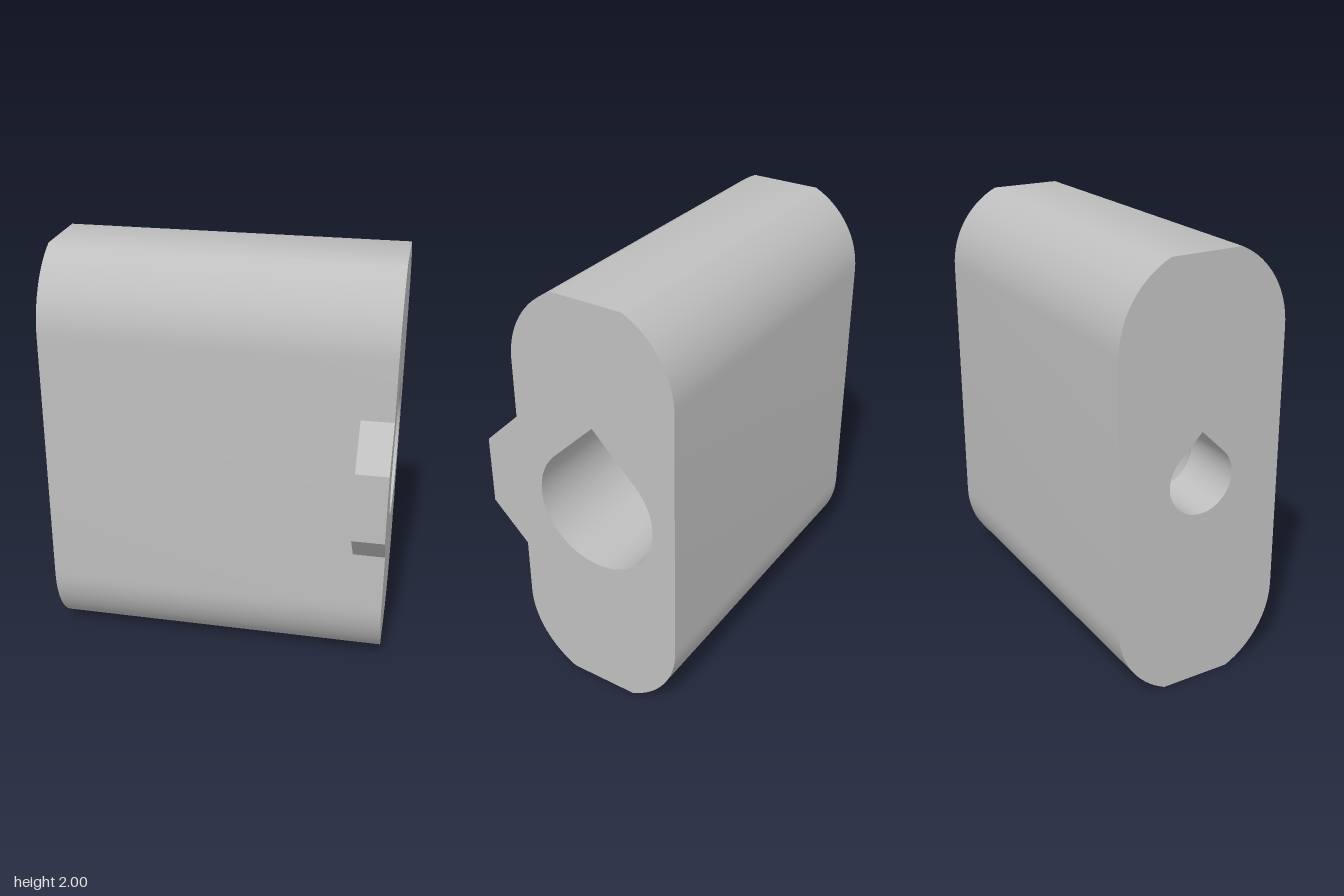
import * as THREE from 'three';
import { toCreasedNormals } from 'three/addons/utils/BufferGeometryUtils.js';

const HALF = 0.815;          // half length along x
const MID_Y = 1, MID_Z = -0.09; // bore axis
const WIDE = 0.298, NARROW = 0.16; // bore radii
const CONE_START = -0.2, CONE_LENGTH = 0.3;
const STEPS = 96;

// Loop of [u, v] points around the axis, u pointing to the back and v up
function bore(radius, pointed) {
  return Array.from({ length: STEPS }, (_, i) => {
    const a = (i / STEPS) * Math.PI * 2;
    const fromTop = Math.abs(a - Math.PI / 2);
    const r = pointed && fromTop < Math.PI / 4 ? radius / Math.cos(Math.PI / 4 - fromTop) : radius;
    return [r * Math.cos(a), r * Math.sin(a)];
  });
}

// Rounded block outline, its end arcs cut flat at the top and bottom
function outline() {
  const r = 0.41, centre = 0.627;
  const cut = Math.acos(0.17 / r);
  const pts = [];
  for (const [start, end, side] of [
    [0, cut, 1], [Math.PI - cut, Math.PI, 1],
    [Math.PI, Math.PI + cut, -1], [2 * Math.PI - cut, 2 * Math.PI, -1],
  ]) {
    for (let i = 0; i <= 16; i++) {
      const a = start + ((end - start) * i) / 16;
      pts.push([r * Math.cos(a), side * centre + r * Math.sin(a)]);
    }
  }
  return pts;
}

const place = (loop, x) => loop.map(([u, v]) => new THREE.Vector3(x, v, -u));

// Skin between two loops with the same number of points
function loft(a, b) {
  const pos = [];
  const tri = (p, q, r) => {
    const area = q.clone().sub(p).cross(r.clone().sub(p)).length();
    if (area > 1e-8) pos.push(...p.toArray(), ...q.toArray(), ...r.toArray());
  };
  a.forEach((p, i) => {
    const j = (i + 1) % a.length;
    tri(p, a[j], b[j]);
    tri(p, b[j], b[i]);
  });
  const g = new THREE.BufferGeometry();
  g.setAttribute('position', new THREE.Float32BufferAttribute(pos, 3));
  return toCreasedNormals(g, 0.5);
}

const toVec2 = (loop) => loop.map(([u, v]) => new THREE.Vector2(u, v));

// Flat end face with its hole
function endFace(hole, side) {
  const shape = new THREE.Shape(toVec2(outline()));
  shape.holes.push(new THREE.Path(toVec2(hole)));
  return new THREE.ShapeGeometry(shape).rotateY((side * Math.PI) / 2).translate(side * HALF, 0, 0);
}

export function createModel() {
  const group = new THREE.Group();
  const grey = new THREE.MeshStandardMaterial({ color: 0xbfbfbf });
  grey.name = 'plain grey';
  const add = (name, geometry) => {
    const mesh = new THREE.Mesh(geometry, grey);
    mesh.name = name;
    mesh.position.set(0, MID_Y, MID_Z);
    group.add(mesh);
  };

  const wide = bore(WIDE, true), narrow = bore(NARROW, true);

  // Block
  add('blockWall', loft(place(outline(), -HALF), place(outline(), HALF)));
  add('rightEndFace', endFace(narrow, -1));
  add('leftEndFace', endFace(wide, 1));

  // Stepped bore: wide teardrop, ledge, cone, narrow teardrop
  const wideEnd = place(wide, CONE_START);
  const coneRim = place(bore(WIDE, false), CONE_START);
  const coneEnd = narrow.map(([u, v]) => {
    const t = (WIDE - Math.hypot(u, v)) / (WIDE - NARROW);
    return new THREE.Vector3(CONE_START - CONE_LENGTH * t, v, -u);
  });
  add('wideBore', loft(place(wide, HALF), wideEnd));
  add('boreLedge', loft(wideEnd, coneRim));
  add('boreCone', loft(coneRim, coneEnd));
  add('narrowBore', loft(coneEnd, place(narrow, -HALF)));

  // Chamfered tab on the front, flush with the left end
  const tab = new THREE.Shape(toVec2([[-0.41, 0.345], [-0.59, 0.168], [-0.59, -0.168], [-0.41, -0.345]]));
  add('frontTab', new THREE.ExtrudeGeometry(tab, { depth: 0.15, bevelEnabled: false })
    .rotateY(Math.PI / 2).translate(HALF - 0.15, 0, 0));

  return group;
}
